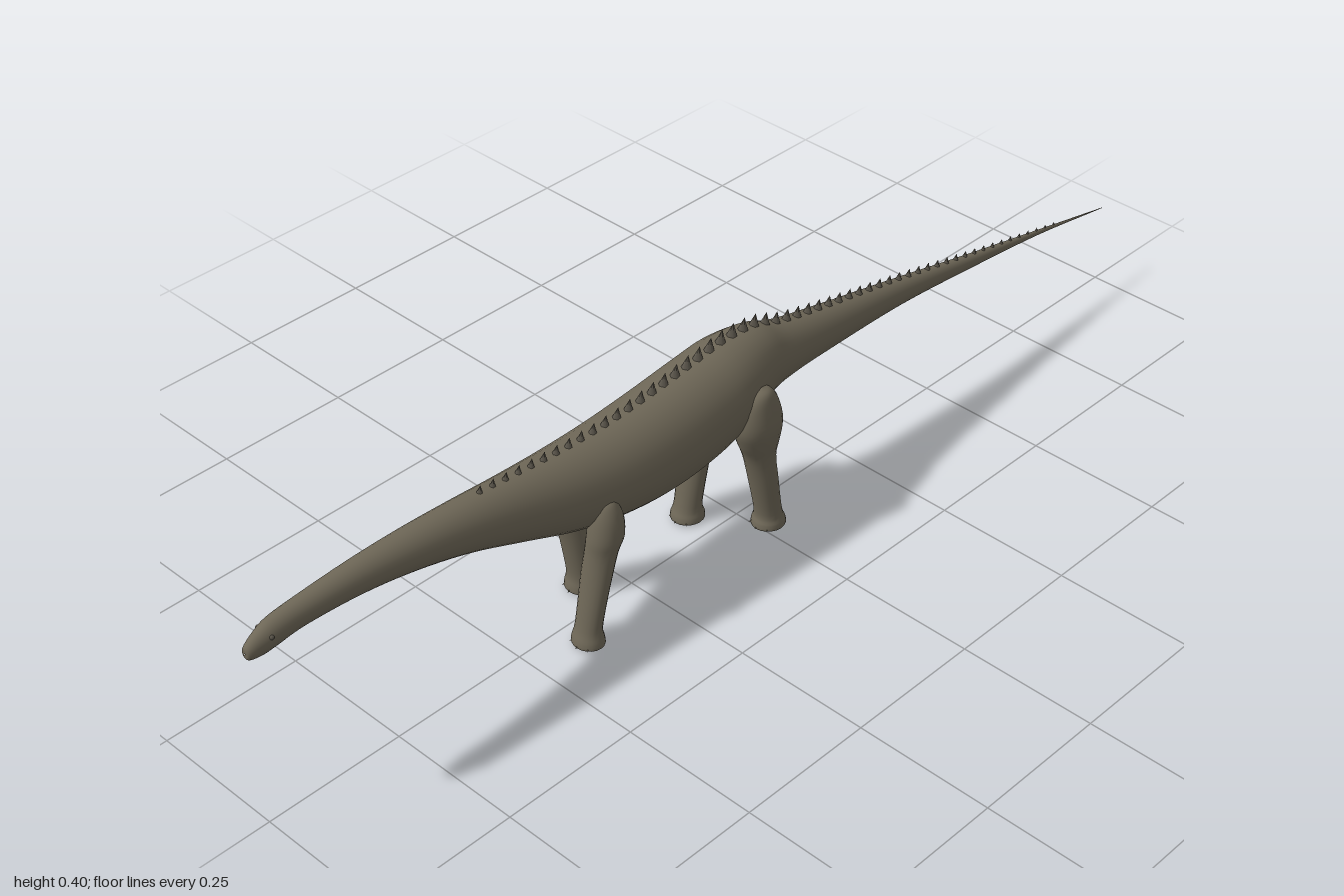
import * as THREE from 'three';

const mat = (name, color, side) => {
  const m = new THREE.MeshStandardMaterial({ color, roughness: 1 });
  m.name = name;
  return m;
};

// Smoothly resample a table of sections (rows of five numbers).
function resample(rows, steps) {
  const a = new THREE.CatmullRomCurve3(rows.map(r => new THREE.Vector3(r[0], r[1], r[2])), false, 'catmullrom', 0.5);
  const b = new THREE.CatmullRomCurve3(rows.map(r => new THREE.Vector3(r[3], r[4] ?? 0, 0)), false, 'catmullrom', 0.5);
  const out = [];
  for (let i = 0; i <= steps; i++) {
    const p = a.getPoint(i / steps), q = b.getPoint(i / steps);
    out.push([p.x, p.y, p.z, q.x, q.y]);
  }
  return out;
}

// Skin closed rings; point(ring, angle) gives each vertex.
function loft(rings, sides, point) {
  const pos = [], idx = [];
  rings.forEach((r, i) => {
    for (let j = 0; j < sides; j++) {
      pos.push(...point(r, j / sides * Math.PI * 2));
      if (i === 0) continue;
      const k = (j + 1) % sides;
      const a = (i - 1) * sides + j, b = (i - 1) * sides + k;
      const c = i * sides + j, d = i * sides + k;
      idx.push(a, c, b, b, c, d);
    }
  });
  const g = new THREE.BufferGeometry();
  g.setAttribute('position', new THREE.Float32BufferAttribute(pos, 3));
  g.setIndex(idx);
  g.computeVertexNormals();
  return g;
}

// Body sections from snout to tail tip: z, top, bottom, half width.
const BODY = [
  [1.0, 0.331, 0.329, 0.001], [0.997, 0.342, 0.318, 0.009], [0.975, 0.357, 0.315, 0.015],
  [0.95, 0.366, 0.319, 0.019], [0.9, 0.371, 0.325, 0.021], [0.8, 0.376, 0.321, 0.026],
  [0.7, 0.375, 0.306, 0.033], [0.6, 0.369, 0.28, 0.041], [0.5, 0.36, 0.243, 0.052],
  [0.4, 0.352, 0.207, 0.066], [0.3, 0.35, 0.185, 0.076], [0.2, 0.357, 0.176, 0.08],
  [0.1, 0.369, 0.186, 0.079], [0.03, 0.376, 0.207, 0.074], [-0.04, 0.37, 0.234, 0.057],
  [-0.1, 0.347, 0.241, 0.046], [-0.2, 0.324, 0.241, 0.037], [-0.4, 0.284, 0.234, 0.022],
  [-0.6, 0.241, 0.214, 0.012], [-0.8, 0.2, 0.19, 0.004], [-1.0, 0.158, 0.157, 0.0005],
];

// Leg sections from top to sole: y, x centre, lean (0 top, 1 foot), x radius, z radius.
const FRONT_LEG = [
  [0.272, 0.06, 0, 0.002, 0.002], [0.264, 0.06, 0, 0.016, 0.016], [0.24, 0.06, 0, 0.027, 0.027],
  [0.205, 0.061, 0.08, 0.03, 0.031], [0.175, 0.058, 0.25, 0.028, 0.026], [0.13, 0.056, 0.5, 0.028, 0.022],
  [0.08, 0.055, 0.75, 0.026, 0.02], [0.035, 0.054, 0.95, 0.025, 0.02], [0.014, 0.054, 1, 0.029, 0.025],
  [0.003, 0.054, 1, 0.027, 0.024], [0.001, 0.054, 1, 0.001, 0.001],
];
const HIND_LEG = [
  [0.308, 0.068, 0, 0.002, 0.002], [0.3, 0.068, 0, 0.018, 0.02], [0.275, 0.064, 0, 0.029, 0.037],
  [0.235, 0.062, 0.02, 0.036, 0.046], [0.2, 0.06, 0.1, 0.033, 0.039], [0.165, 0.057, 0.25, 0.029, 0.028],
  [0.11, 0.056, 0.55, 0.028, 0.024], [0.035, 0.055, 0.95, 0.025, 0.023], [0.014, 0.055, 1, 0.029, 0.029],
  [0.003, 0.055, 1, 0.027, 0.028], [0.001, 0.055, 1, 0.001, 0.001],
];

export function createModel() {
  const model = new THREE.Group();
  const hide = mat('oliveGreyHide', 0x6e6757);
  const horn = mat('darkHorn', 0x59544a);
  const add = (parent, name, geo, material) => {
    const m = new THREE.Mesh(geo, material);
    m.name = name;
    parent.add(m);
    return m;
  };

  // Head, neck, trunk and tail in one smooth skin
  add(model, 'body', loft(resample(BODY, 100), 28, ([z, top, bottom, w], t) => {
    const cy = bottom + (top - bottom) * 0.48;
    const s = Math.sin(t);
    return [w * Math.cos(t), cy + s * (s > 0 ? top - cy : cy - bottom), z];
  }), hide);

  // Eyes
  for (const s of [-1, 1]) {
    const eye = add(model, s > 0 ? 'leftEye' : 'rightEye', new THREE.SphereGeometry(0.004, 10, 8), horn);
    eye.position.set(s * 0.0155, 0.347, 0.962);
  }

  // Legs in mid-stride, each with three toe claws
  const leg = (name, table, side, topZ, footZ, footR) => {
    const g = new THREE.Group();
    g.name = name;
    add(g, 'limb', loft(resample(table, 40), 20, ([y, x, lean, rx, rz], t) => [
      side * x + Math.max(rx, 0.0005) * Math.sin(t),
      Math.max(y, 0),
      topZ + (footZ - topZ) * lean + Math.max(rz, 0.0005) * Math.cos(t),
    ]), hide);
    for (const a of [-0.7, 0, 0.7]) {
      const claw = add(g, 'toeClaw', new THREE.ConeGeometry(0.005, 0.014, 8), hide);
      claw.rotation.set(Math.PI / 2 + 0.35, 0, -a, 'YXZ');
      claw.position.set(side * 0.0545 + Math.sin(a) * 0.026, 0.008, footZ + Math.cos(a) * footR);
    }
    model.add(g);
  };
  leg('leftFrontLeg', FRONT_LEG, 1, 0.357, 0.4, 0.023);
  leg('rightFrontLeg', FRONT_LEG, -1, 0.337, 0.313, 0.023);
  leg('leftHindLeg', HIND_LEG, 1, 0.015, -0.02, 0.027);
  leg('rightHindLeg', HIND_LEG, -1, 0.025, 0.062, 0.027);

  // Row of spikes along the back, largest over the hips
  const ridge = resample(BODY, 400);
  const topAt = z => {
    const i = ridge.findIndex(r => r[0] <= z);
    const [a, b] = [ridge[i - 1], ridge[i]];
    return a[1] + (b[1] - a[1]) * (a[0] - z) / (a[0] - b[0]);
  };
  const spikes = new THREE.Group();
  spikes.name = 'backSpikes';
  for (let z = 0.555; z > -0.86; z -= 0.026) {
    const h = z > 0 ? 0.025 - 0.011 * z / 0.555 : 0.025 + 0.019 * z / 0.86;
    const spike = add(spikes, 'spike', new THREE.ConeGeometry(h * 0.4, h, 6), horn);
    spike.position.set(0, topAt(z) + h * 0.36, z);
    spike.rotation.x = -0.2;
  }
  model.add(spikes);
  return model;
}
